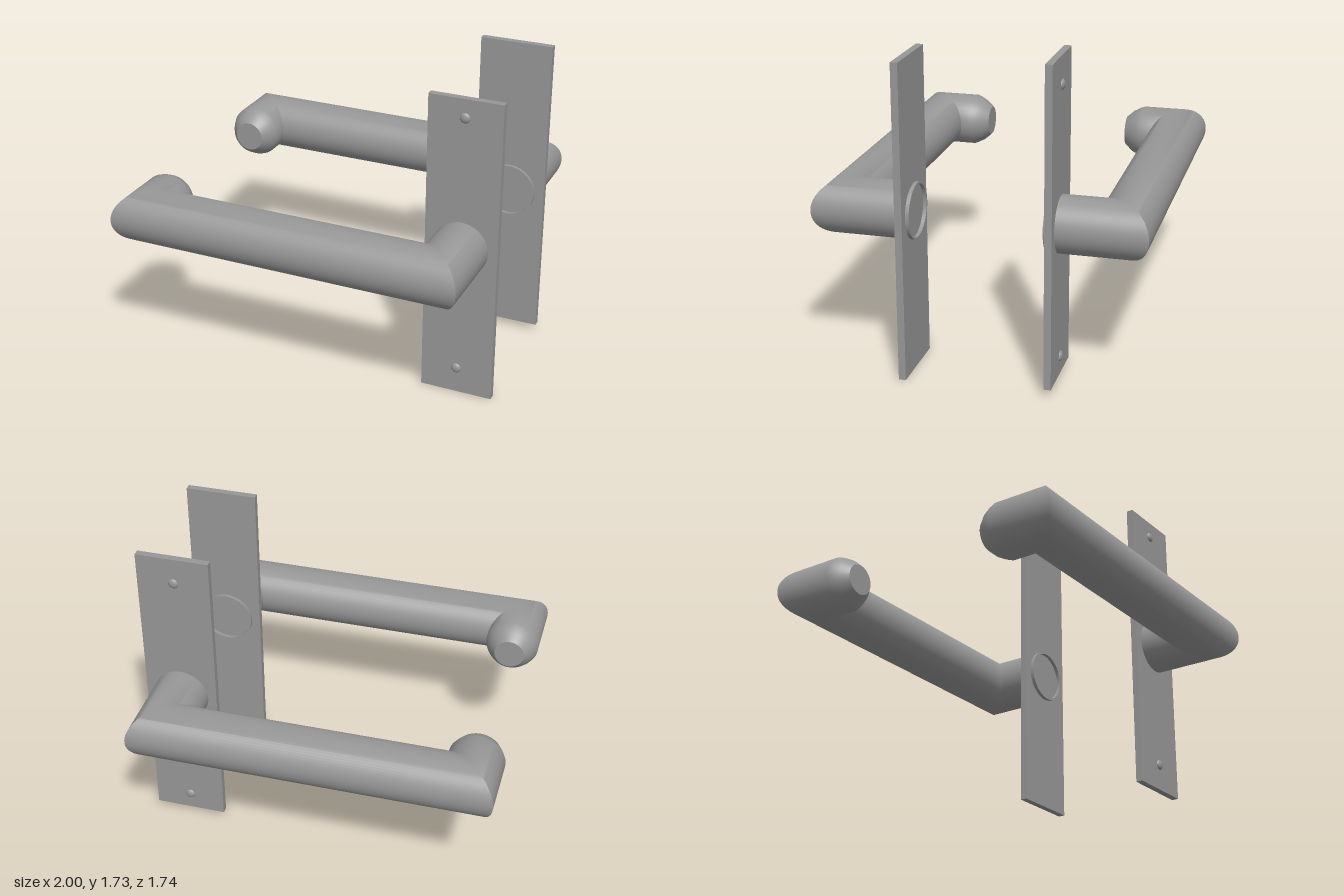
import * as THREE from 'three';
import { mergeGeometries, mergeVertices, toCreasedNormals } from 'three/addons/utils/BufferGeometryUtils.js';

const R = 0.149;                    // tube radius
const BAR_Z = 0.723;                // centre line of the grip
const POST_X = 0.8, RETURN_X = -0.851;
const MID_Y = 0.8625;
const SEG = 64;

const material = new THREE.MeshStandardMaterial({ color: 0x989797 });

function add(group, name, geometry, x = 0, y = 0, z = 0) {
  const mesh = new THREE.Mesh(geometry, material);
  mesh.name = name;
  mesh.position.set(x, y, z);
  group.add(mesh);
}

// Open tube along x or z whose end vertices are moved by a rule to form mitres
function mitredTube(axis, place) {
  const g = new THREE.CylinderGeometry(R, R, 2, SEG, 1, true);
  if (axis === 'x') g.rotateZ(-Math.PI / 2);
  else g.rotateX(Math.PI / 2);
  const p = g.attributes.position;
  for (let i = 0; i < p.count; i++) {
    const v = new THREE.Vector3().fromBufferAttribute(p, i);
    place(v);
    p.setXYZ(i, v.x, v.y, v.z);
  }
  return g;
}

// Lathe whose axis points towards -z
function latheBack(points, x, z) {
  return new THREE.LatheGeometry(points.map(([r, h]) => new THREE.Vector2(r, h)), SEG)
    .rotateX(-Math.PI / 2)
    .translate(x, 0, z);
}

// Weld pieces into one skin, smooth across gentle bends and sharp at strong ones
function weld(pieces) {
  for (const g of pieces) {
    g.deleteAttribute('uv');
    g.deleteAttribute('normal');
  }
  const skin = mergeVertices(mergeGeometries(pieces), 1e-4);
  // Enlarged while creasing, so that close vertices are told apart
  skin.scale(100, 100, 100);
  return toCreasedNormals(skin, 0.75).scale(0.01, 0.01, 0.01);
}

function leverGeometry() {
  const grip = mitredTube('x', (v) => {
    v.x = v.x > 0 ? POST_X + v.z : RETURN_X - v.z;
    v.z += BAR_Z;
  });
  const post = mitredTube('z', (v) => {
    v.z = v.z > 0 ? BAR_Z + v.x : 0.345;
    v.x += POST_X;
  });
  const returnLeg = mitredTube('z', (v) => {
    v.z = v.z > 0 ? BAR_Z - v.x : 0.52;
    v.x += RETURN_X;
  });
  // Rounded-off tip with a flat end
  const tip = latheBack([[R, 0], [0.139, 0.025], [0.12, 0.06], [0.084, 0.1], [0, 0.1]], RETURN_X, 0.52);
  // Thin rim where the post comes out behind the plate
  const rim = latheBack([[R, 0.02], [R - 0.01, 0.02], [R - 0.01, 0]], POST_X, 0.365);
  return weld([grip, post, returnLeg, tip, rim]);
}

// One side of the door: plate, screws and lever, centred on y = 0
function makeSide(name) {
  const side = new THREE.Group();
  side.name = name;

  // Back plate sits slightly low relative to the lever
  add(side, 'plate', new THREE.BoxGeometry(0.396, 1.685, 0.038), 0.802, 1.685 / 2 - MID_Y, 0.384);

  // Domed screw heads
  for (const y of [0.145, 1.585]) {
    const dome = new THREE.SphereGeometry(0.028, 24, 10, 0, Math.PI * 2, 0, Math.PI / 2);
    dome.rotateX(Math.PI / 2).scale(1, 1, 0.55);
    add(side, 'screw', dome, POST_X, y - MID_Y, 0.402);
  }

  add(side, 'lever', leverGeometry());

  side.position.y = MID_Y;
  return side;
}

export function createModel() {
  const model = new THREE.Group();
  model.name = 'doorHandleSet';
  const front = makeSide('frontHandle');
  // The rear set is the same part turned over about the x axis
  const rear = makeSide('rearHandle');
  rear.rotation.x = Math.PI;
  model.add(front, rear);
  return model;
}
